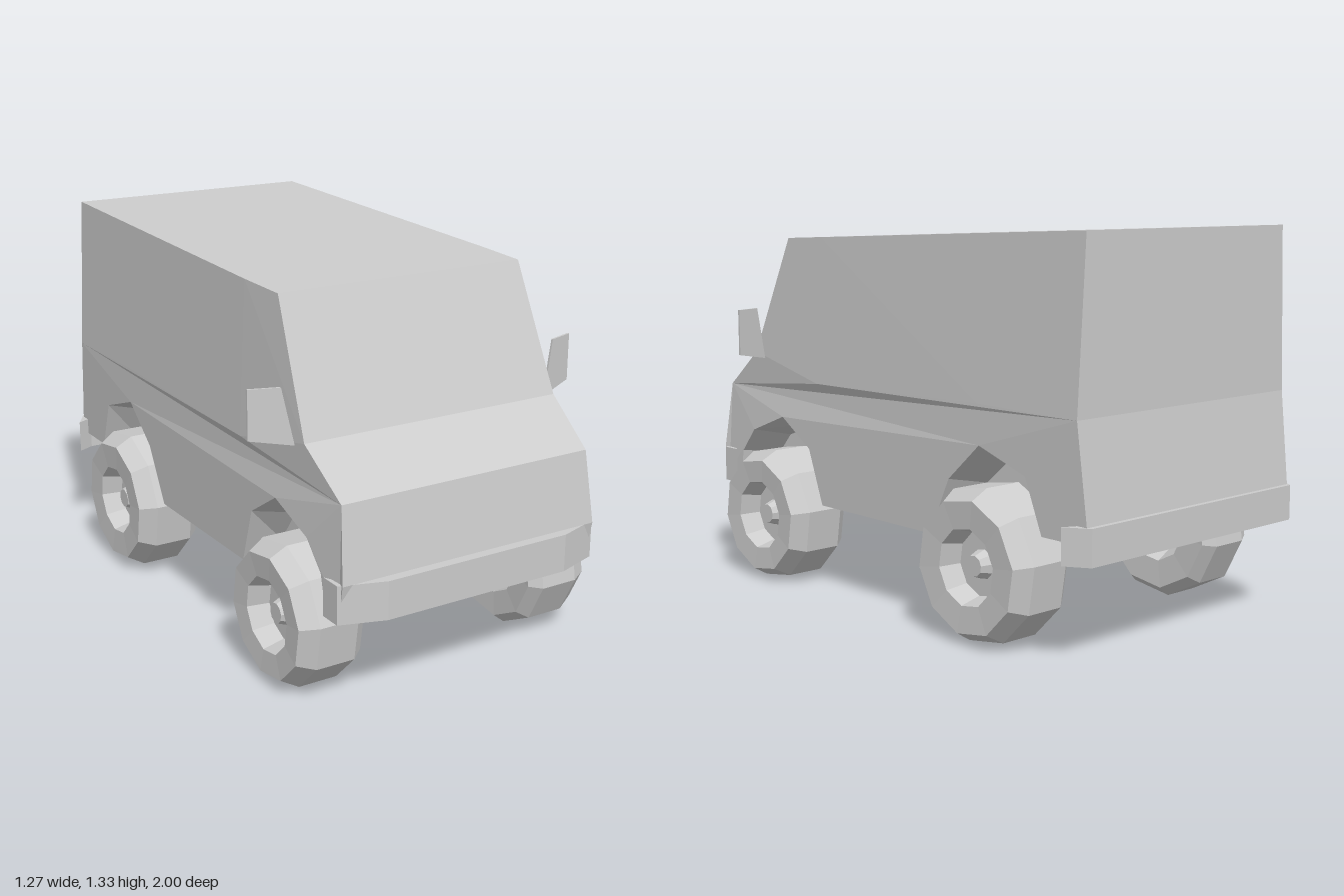
import * as THREE from 'three';

const grey = new THREE.MeshStandardMaterial({ color: 0xcccccc, flatShading: true, side: THREE.DoubleSide });

function add(parent, name, geometry, x = 0, y = 0, z = 0) {
  const mesh = new THREE.Mesh(geometry, grey);
  mesh.name = name;
  mesh.position.set(x, y, z);
  parent.add(mesh);
  return mesh;
}

// Side outlines, all as [z, y] points
const waist = [[0.74, 0.85], [0.35, 0.765], [-0.5, 0.785], [-0.945, 0.78]];
const skin = [[0.86, 0.36], [0.945, 0.36], [0.965, 0.46], [0.93, 0.71], [0.74, 0.85], [0.55, 1.28],
  [0.35, 1.288], [-0.95, 1.34], [-0.945, 0.78], [-0.985, 0.44], [-0.97, 0.4], [-0.79, 0.4]];
const frontArch = [[0.86, 0.36], [0.84, 0.46], [0.76, 0.55], [0.57, 0.62], [0.41, 0.52], [0.34, 0.32]];
const rearArch = [[-0.26, 0.32], [-0.36, 0.52], [-0.51, 0.65], [-0.72, 0.58], [-0.79, 0.4]];
const wellX = 0.34;

// Half width of the bodywork: widest at the waist, leaning in to the roof, cab and nose.
function halfWidth(z, y) {
  let w = y > 0.78 ? 0.502 - (y - 0.78) * 0.05 : 0.492 + (y - 0.32) * 0.022;
  if (z > 0.5 && y > 0.8) w -= 0.006;
  if (z > 0.9 && y > 0.6) w -= 0.022;
  return w;
}

// Places a side outline on one side, on the body surface or at a fixed x.
const place = (line, side, x) => line.map(([z, y]) => [side * (x ?? halfWidth(z, y)), y, z]);

// Ribbon of quads between two lines of [x, y, z] points.
function ribbon(a, b) {
  const points = [];
  for (let i = 0; i < a.length - 1; i++) {
    points.push(a[i], b[i], b[i + 1], a[i], b[i + 1], a[i + 1]);
  }
  const g = new THREE.BufferGeometry();
  g.setAttribute('position', new THREE.Float32BufferAttribute(points.flat(), 3));
  g.computeVertexNormals();
  return g;
}
const across = (line, x) => ribbon(place(line, 1, x), place(line, -1, x));

// Flat outline filled in and laid on one side.
function panel(line, side, x) {
  const g = new THREE.ShapeGeometry(new THREE.Shape(line.map(([z, y]) => new THREE.Vector2(z, y))));
  const p = g.attributes.position;
  for (let i = 0; i < p.count; i++) {
    const z = p.getX(i), y = p.getY(i);
    p.setXYZ(i, side * (x ?? halfWidth(z, y)), y, z);
  }
  g.computeVertexNormals();
  return g;
}

// Plan outline of [x, z] points, extruded upwards.
function planSlab(points, height) {
  const shape = new THREE.Shape(points.map(([x, z]) => new THREE.Vector2(x, -z)));
  return new THREE.ExtrudeGeometry(shape, { depth: height, bevelEnabled: false }).rotateX(-Math.PI / 2);
}

// Chunky low-poly wheel with a dished hub, axis along x.
function wheelGeometry(r) {
  const profile = [
    [0, -0.04], [0.1, -0.05], [0.13, -0.115], [r * 0.87, -0.12], [r, -0.08],
    [r, 0.06], [r * 0.86, 0.12], [0.13, 0.115], [0.11, 0.04], [0.05, 0.04], [0.035, 0.08], [0, 0.08],
  ].map(([a, b]) => new THREE.Vector2(a, b));
  return new THREE.LatheGeometry(profile, 10, Math.PI / 10).rotateZ(-Math.PI / 2).rotateX(Math.PI / 10 + Math.PI / 20);
}

export function createModel() {
  const van = new THREE.Group();
  van.name = 'van';

  // Nose, windscreen, roof and tail in one wrap, then the recessed floor
  add(van, 'bodyWrap', across(skin));
  add(van, 'floor', across([[0.86, 0.36], [0.34, 0.37], [-0.26, 0.37], [-0.79, 0.4]], wellX));

  // Bumpers
  add(van, 'frontBumper', planSlab(
    [[-0.505, 0.87], [-0.505, 0.95], [-0.35, 1], [0.35, 1], [0.505, 0.95], [0.505, 0.87], [0.47, 0.94], [-0.47, 0.94]],
    0.13), 0, 0.33, 0);
  add(van, 'rearBumper', planSlab(
    [[-0.54, -0.92], [-0.49, -1], [0.49, -1], [0.54, -0.92], [0.48, -0.95], [-0.48, -0.95]], 0.12), 0, 0.34, 0);

  // Axles
  add(van, 'frontAxle', new THREE.BoxGeometry(0.7, 0.11, 0.14), 0, 0.28, 0.63);
  add(van, 'rearAxle', new THREE.CylinderGeometry(0.045, 0.045, 0.7, 6).rotateZ(Math.PI / 2), 0, 0.28, -0.525);

  for (const side of [-1, 1]) {
    const label = side > 0 ? 'left' : 'right';

    // Side panels: cab, cargo side and lower side with wheel arches
    add(van, label + 'CabSide', panel([waist[0], [0.55, 1.28], [0.35, 1.288], waist[1]], side));
    add(van, label + 'CargoSide', panel([[0.35, 1.288], [-0.95, 1.34], ...waist.slice(1).reverse()], side));
    add(van, label + 'LowerSide', panel([
      ...skin.slice(0, 4), ...waist, ...skin.slice(9), ...[...rearArch].reverse(), ...[...frontArch].reverse().slice(0, -1),
    ].filter((p, i, all) => i === 0 || p.join() !== all[i - 1].join()), side));
    add(van, label + 'Sill', ribbon(
      place([[0.34, 0.32], [-0.26, 0.32]], side), place([[0.34, 0.37], [-0.26, 0.37]], side, wellX)));

    // Wheel wells: roof sloping inwards from the arch, closed by an inner wall
    for (const [end, arch, centre] of [['Front', frontArch, 0.62], ['Rear', rearArch, -0.525]]) {
      const inner = arch.map(([z, y], i) => (i === 0 || i === arch.length - 1)
        ? [z, Math.max(y, 0.36)] : [centre + (z - centre) * 0.9, 0.3 + (y - 0.3) * 0.86]);
      add(van, label + end + 'WellRoof', ribbon(place(arch, side), place(inner, side, wellX)));
      add(van, label + end + 'WellWall', panel(inner, side, wellX));
    }

    // Wheels
    for (const [end, z, y, r] of [['Front', 0.63, 0.25, 0.247], ['Rear', -0.525, 0.265, 0.261]]) {
      const wheel = add(van, label + end + 'Wheel', wheelGeometry(r), side * 0.455, y, z);
      if (side < 0) wheel.rotation.y = Math.PI;
    }

    // Door mirror: thin flag swept back from the windscreen pillar
    const flag = new THREE.Shape([[0.495, 0.83], [0.635, 0.855], [0.635, 1.02], [0.535, 1.02]]
      .map(([x, y]) => new THREE.Vector2(side * x, y)));
    const mirror = new THREE.ExtrudeGeometry(flag, { depth: 0.008, bevelEnabled: false });
    const p = mirror.attributes.position;
    for (let i = 0; i < p.count; i++) {
      p.setZ(i, p.getZ(i) + 0.68 - (Math.abs(p.getX(i)) - 0.495) * 0.33);
    }
    mirror.computeVertexNormals();
    add(van, label + 'Mirror', mirror);
  }
  return van;
}
